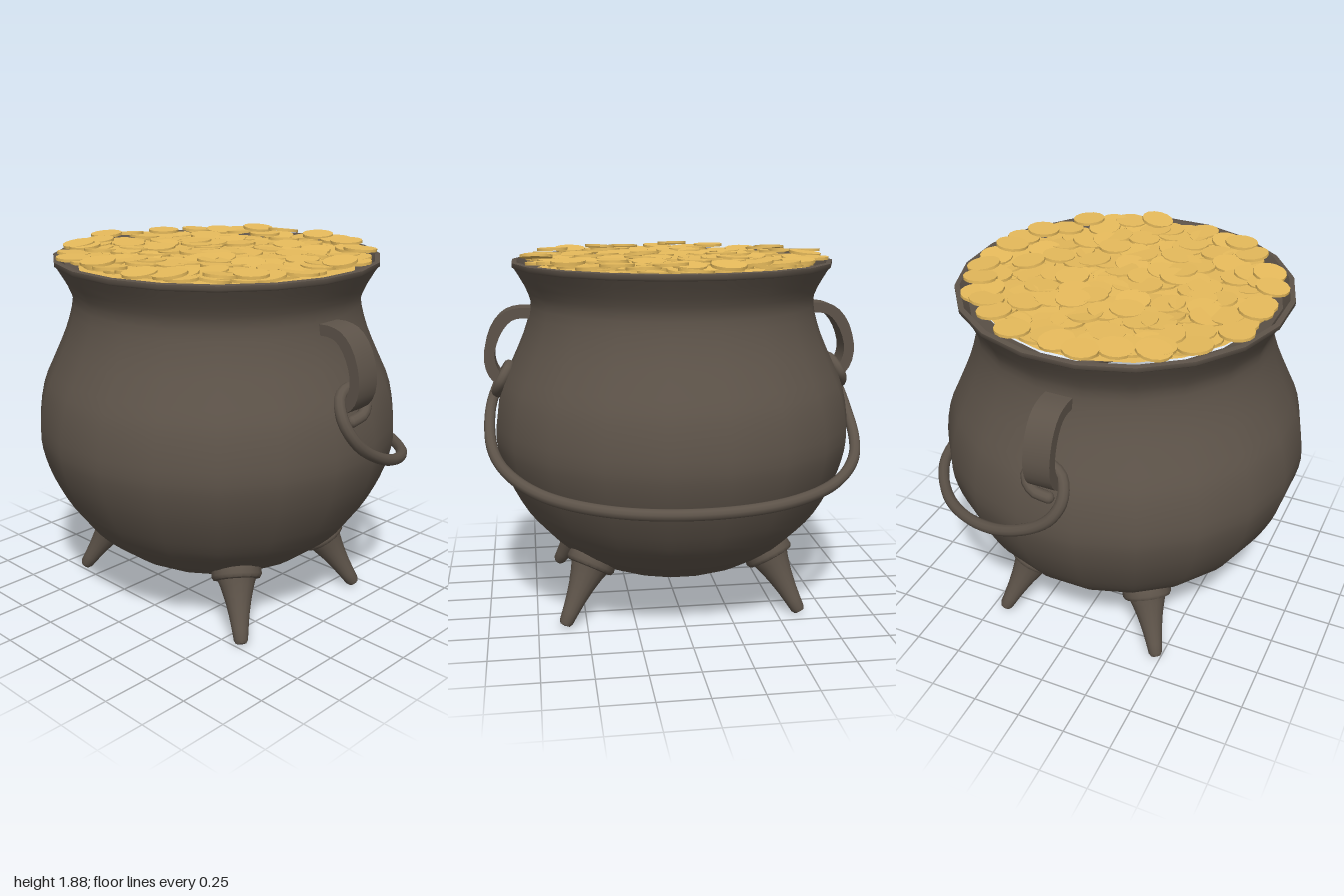
import * as THREE from 'three';
import { toCreasedNormals } from 'three/addons/utils/BufferGeometryUtils.js';

const V2 = (p) => new THREE.Vector2(p[0], p[1]);
const V3 = (p) => new THREE.Vector3(p[0], p[1], p[2]);

export function createModel() {
  const model = new THREE.Group();
  model.name = 'potOfGold';
  const iron = new THREE.MeshStandardMaterial({ color: 0x5d5349 });
  iron.name = 'castIron';
  const gold = new THREE.MeshStandardMaterial({ color: 0xe6ba5b });
  gold.name = 'gold';

  const add = (parent, name, geometry, material) => {
    const mesh = new THREE.Mesh(geometry, material);
    mesh.name = name;
    parent.add(mesh);
    return mesh;
  };

  // The pot axis sits slightly forward, balancing the hanging bail at the back
  const cauldron = new THREE.Group();
  cauldron.name = 'cauldron';
  cauldron.position.z = 0.025;
  model.add(cauldron);

  // Pot: 20-sided lathe, flat sides facing the axes
  const SIDES = 20;
  const turn = Math.PI / SIDES;
  const ring = (name, points) => add(cauldron, name, new THREE.LatheGeometry(
    points.map((p) => new THREE.Vector2(p[0] / Math.cos(turn), p[1])), SIDES, turn), iron);

  const profile = new THREE.SplineCurve([
    [0, 0.168], [0.18, 0.178], [0.36, 0.213], [0.52, 0.285], [0.66, 0.392], [0.77, 0.515],
    [0.86, 0.68], [0.913, 0.83], [0.931, 0.97], [0.9, 1.16], [0.835, 1.31],
    [0.77, 1.46], [0.734, 1.6], [0.75, 1.69], [0.81, 1.8],
  ].map(V2)).getPoints(36).map((p) => [Math.max(p.x, 0), p.y]);
  ring('potBody', profile);
  ring('rimEdge', [[0.81, 1.8], [0.822, 1.81], [0.822, 1.83]]);
  ring('rimTop', [[0.822, 1.83], [0.797, 1.833]]);
  ring('innerWall', [[0.797, 1.833], [0.765, 1.785]]);
  ring('innerLedge', [[0.765, 1.785], [0.69, 1.765]]);

  // Four splayed feet, each with a collar against the belly
  const footProfile = [
    [0.126, -0.04], [0.13, 0], [0.12, 0.018], [0.098, 0.022], [0.086, 0.055], [0.067, 0.125],
    [0.052, 0.2], [0.042, 0.27], [0.036, 0.32], [0.026, 0.338], [0, 0.342],
  ].map(V2);
  const footGeometry = toCreasedNormals(new THREE.LatheGeometry(footProfile, 16), 0.9);
  for (const sx of [-1, 1]) for (const sz of [-1, 1]) {
    const foot = add(cauldron, 'foot', footGeometry, iron);
    foot.position.set(sx * 0.472, 0.302, sz * 0.338);
    const axis = new THREE.Vector3(sx * 0.152, -0.3, sz * 0.122).normalize();
    foot.quaternion.setFromUnitVectors(new THREE.Vector3(0, 1, 0), axis);
  }

  // Flat curved lugs on both sides
  const outer = new THREE.SplineCurve([
    [0.7, 1.595], [0.8, 1.598], [0.88, 1.57], [0.945, 1.49], [0.98, 1.37],
    [0.969, 1.27], [0.92, 1.205], [0.84, 1.18],
  ].map(V2)).getPoints(16);
  const inner = new THREE.SplineCurve([
    [0.82, 1.235], [0.885, 1.25], [0.918, 1.3], [0.925, 1.37], [0.895, 1.46],
    [0.845, 1.525], [0.79, 1.545], [0.7, 1.542],
  ].map(V2)).getPoints(16);
  const lugGeometry = toCreasedNormals(new THREE.ExtrudeGeometry(
    new THREE.Shape([...outer, ...inner]), { depth: 0.136, bevelEnabled: false })
    .translate(0, 0, -0.068), 0.7);
  for (const angle of [0, Math.PI]) {
    add(cauldron, 'handleLug', lugGeometry, iron).rotation.y = angle;
  }

  // Hanging bail: hooks through each lug and droops around the back
  const half = [
    [0.915, 1.15, 0.045], [0.92, 1.17, -0.03], [0.898, 1.225, -0.075], [0.865, 1.28, -0.05],
    [0.855, 1.295, 0.02], [0.872, 1.26, 0.095], [0.92, 1.17, 0.122], [0.955, 1.08, 0.085],
    [0.967, 1.0, 0], [0.95, 0.9, -0.2], [0.872, 0.835, -0.43], [0.695, 0.785, -0.67],
    [0.395, 0.765, -0.87],
  ];
  const bailPoints = [...half, [0, 0.755, -0.93],
    ...half.slice().reverse().map(([x, y, z]) => [-x, y, z])].map(V3);
  add(model, 'bail', new THREE.TubeGeometry(
    new THREE.CatmullRomCurve3(bailPoints), 140, 0.029, 10), iron);
  for (const s of [-1, 1]) {
    add(model, 'bailTip', new THREE.SphereGeometry(0.029, 10, 8), iron)
      .position.set(s * 0.915, 1.15, 0.045);
  }

  // Gold bed below the loose coins
  const bed = add(cauldron, 'coinBed', new THREE.CircleGeometry(0.71, SIDES, turn), gold);
  bed.rotation.x = -Math.PI / 2;
  bed.position.y = 1.785;

  // Loose coins scattered in a sunflower pattern with slight tilts
  let seed = 7;
  const random = () => {
    seed = (seed * 16807) % 2147483647;
    return seed / 2147483647;
  };
  const coins = new THREE.Group();
  coins.name = 'coins';
  cauldron.add(coins);
  const coinGeometry = toCreasedNormals(new THREE.CylinderGeometry(0.084, 0.084, 0.014, 14), 0.7);
  const COUNT = 230;
  for (let i = 0; i < COUNT; i++) {
    const r = 0.735 * Math.sqrt((i + 0.5) / COUNT) + (random() - 0.5) * 0.03;
    const a = i * 2.39996 + (random() - 0.5) * 0.1;
    const coin = add(coins, 'coin', coinGeometry, gold);
    const lift = r > 0.69 ? 1.835 : 1.815;
    coin.position.set(r * Math.cos(a), lift + random() * 0.03, r * Math.sin(a));
    coin.rotation.set((random() - 0.5) * 0.22, random() * 6.28, (random() - 0.5) * 0.22);
  }
  return model;
}
